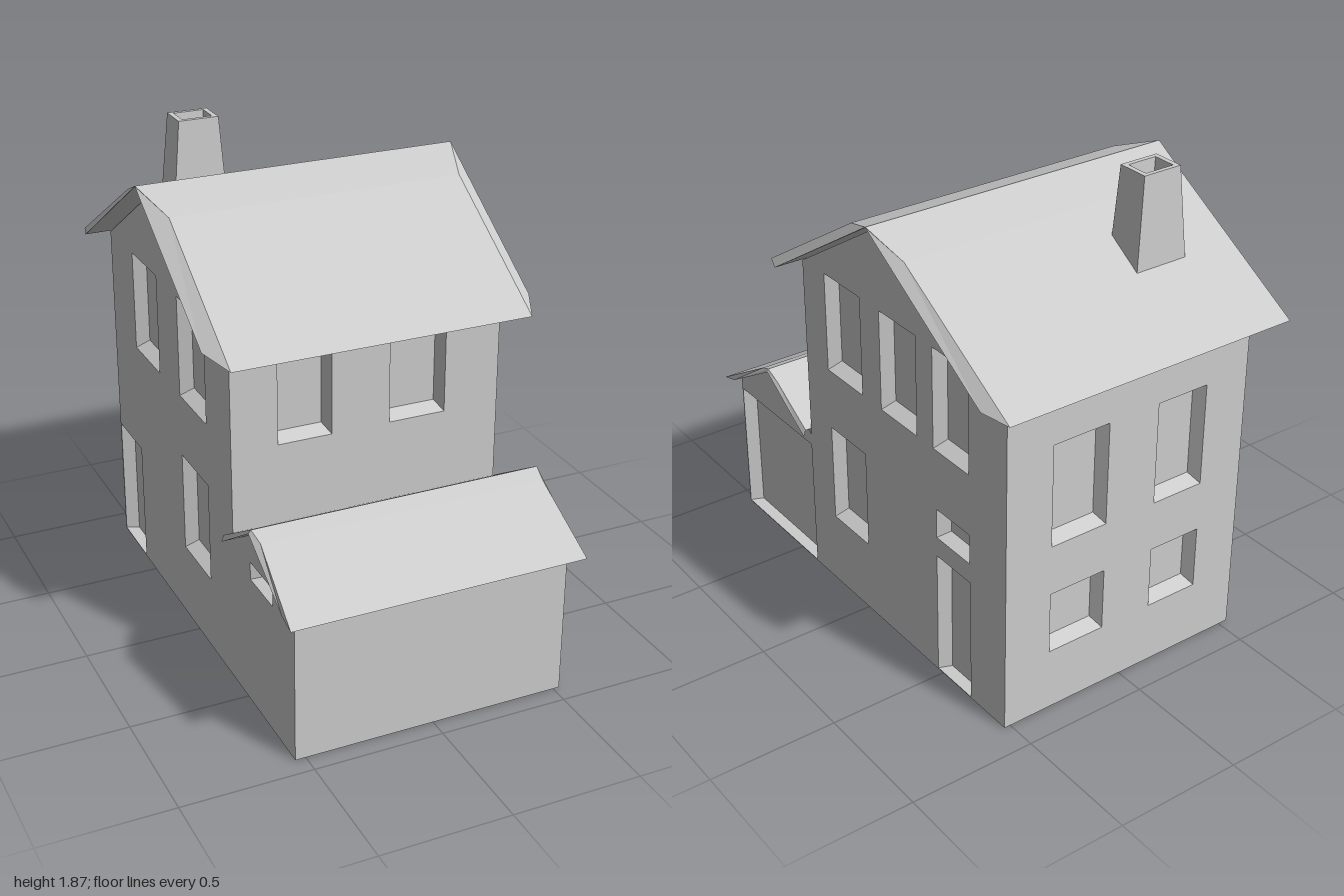
import * as THREE from 'three';

const material = new THREE.MeshStandardMaterial({ color: 0xcccccc, flatShading: true });

// Mesh from four-cornered faces, corners counter-clockwise from outside
function quadMesh(name, quads) {
  const geometry = new THREE.BufferGeometry();
  const pos = quads.flatMap(([a, b, c, d]) => [a, b, c, a, c, d]).flat();
  geometry.setAttribute('position', new THREE.Float32BufferAttribute(pos, 3));
  geometry.computeVertexNormals();
  const mesh = new THREE.Mesh(geometry, material);
  mesh.name = name;
  return mesh;
}

// Join successive four-cornered rings and close the last one
function loft(name, rings) {
  const quads = [rings[rings.length - 1]];
  for (let i = 0; i + 1 < rings.length; i++) {
    for (let k = 0; k < 4; k++) {
      const n = (k + 1) % 4;
      quads.push([rings[i][k], rings[i][n], rings[i + 1][n], rings[i + 1][k]]);
    }
  }
  return quadMesh(name, quads);
}

// Wall in its own plane; openings are [name, u0, u1, y0, y1], each with a splayed recess
function wall(name, outline, openings, turn, x, z) {
  const group = new THREE.Group();
  group.name = name;
  const shape = new THREE.Shape(outline.map(p => new THREE.Vector2(...p)));
  const rect = (u0, u1, y0, y1, d) => [[u0, y0, d], [u1, y0, d], [u1, y1, d], [u0, y1, d]];
  for (const [label, a, b, y0, y1] of openings) {
    const u0 = Math.min(a, b), u1 = Math.max(a, b);
    const outer = rect(u0, u1, y0, y1, 0);
    shape.holes.push(new THREE.Path(outer.map(p => new THREE.Vector2(p[0], p[1]))));
    const inset = Math.min(0.03, (y1 - y0) * 0.15);
    const sill = y0 < 0.01 ? 0 : inset;
    group.add(loft(label, [outer, rect(u0 + 0.02, u1 - 0.02, y0 + sill, y1 - inset, -0.05)]));
  }
  const face = new THREE.Mesh(new THREE.ShapeGeometry(shape), material);
  face.name = name + 'Face';
  group.add(face);
  group.rotation.y = turn;
  group.position.set(x, 0, z);
  return group;
}

// Roof shell from matching upper and lower rows [z, y, xLeftmost, xRightmost], back to front
function roof(name, top, under) {
  const lo = r => [r[2], r[1], r[0]];
  const hi = r => [r[3], r[1], r[0]];
  const quads = [];
  for (let i = 0; i + 1 < top.length; i++) {
    const [t, T, b, B] = [top[i], top[i + 1], under[i], under[i + 1]];
    quads.push([lo(t), lo(T), hi(T), hi(t)]);
    quads.push([hi(b), hi(B), lo(B), lo(b)]);
    quads.push([hi(t), hi(T), hi(B), hi(b)]);
    quads.push([lo(b), lo(B), lo(T), lo(t)]);
  }
  return quadMesh(name, quads);
}

export function createModel() {
  const model = new THREE.Group();
  model.name = 'house';
  const X0 = -0.54, X1 = 0.525, back = -0.88, front = 0.38, garageFront = 0.925;
  const flip = list => list.map(([u, y]) => [-u, y]).reverse();

  // House walls: gables on the sides, plain walls front and back
  const gable = [[back, 0], [front, 0], [front, 1.35], [-0.245, 1.745], [back, 1.35]];
  model.add(wall('rightGableWall', flip(gable), [
    ['upperWindow', -0.23, 0.005, 0.955, 1.355],
    ['upperWindow', 0.13, 0.355, 0.955, 1.355],
    ['upperWindow', 0.455, 0.665, 0.955, 1.355],
    ['lowerWindow', -0.225, 0.01, 0.3, 0.705],
    ['smallWindow', 0.47, 0.67, 0.59, 0.71],
    ['door', 0.47, 0.675, 0.004, 0.51],
  ], Math.PI / 2, X1, 0));
  model.add(wall('leftGableWall', gable, [
    ['upperWindow', -0.62, -0.35, 0.95, 1.35],
    ['upperWindow', -0.13, 0.14, 0.95, 1.35],
    ['lowerWindow', -0.13, 0.14, 0.3, 0.7],
    ['door', -0.872, -0.62, 0.004, 0.5],
  ], -Math.PI / 2, X0, 0));
  const plain = h => [[X0, 0], [X1, 0], [X1, h], [X0, h]];
  model.add(wall('frontWall', plain(1.35), [
    ['upperWindow', -0.36, -0.15, 0.94, 1.34],
    ['upperWindow', 0.08, 0.305, 0.94, 1.34],
  ], 0, 0, front));
  const backWindows = [];
  for (const [a, b] of [[-0.33, -0.09], [0.13, 0.35]]) {
    backWindows.push(['upperWindow', a, b, 0.7, 1.11], ['lowerWindow', a, b, 0.25, 0.5]);
  }
  model.add(wall('backWall', flip(plain(1.35)), backWindows, Math.PI, 0, back));

  // Garage walls
  const garageGable = [[front, 0], [garageFront, 0], [garageFront, 0.6], [0.645, 0.765], [front, 0.6]];
  model.add(wall('garageDoorWall', flip(garageGable),
    [['garageDoor', -0.921, -0.384, 0.004, 0.55]], Math.PI / 2, X1, 0));
  model.add(wall('garageLeftWall', garageGable,
    [['gableWindow', 0.54, 0.74, 0.52, 0.59]], -Math.PI / 2, X0, 0));
  model.add(wall('garageFrontWall', plain(0.6), [], 0, 0, garageFront));

  // Underside
  model.add(quadMesh('base', [
    [[X0, 0, back], [X1, 0, back], [X1, 0, garageFront], [X0, 0, garageFront]],
  ]));

  // Main roof with bevelled gable edges
  model.add(roof('mainRoof', [
    [-1, 1.335, -0.61, 0.605], [-0.42, 1.68, -0.61, 0.605], [-0.245, 1.75, -0.64, 0.64],
    [-0.06, 1.68, -0.58, 0.58], [0.515, 1.32, -0.585, 0.58],
  ], [
    [-1, 1.335, -0.61, 0.605], [-0.89, 1.35, -0.64, 0.64], [-0.245, 1.748, -0.64, 0.64],
    [0.385, 1.35, -0.64, 0.64], [0.515, 1.32, -0.585, 0.58],
  ]));

  // Garage roof
  model.add(roof('garageRoof', [
    [0.38, 0.625, -0.575, 0.55], [0.58, 0.745, -0.575, 0.55], [0.64, 0.78, -0.575, 0.555],
    [0.7, 0.755, -0.565, 0.545], [1, 0.58, -0.585, 0.56],
  ], [
    [0.38, 0.6, -0.585, 0.56], [0.4, 0.612, -0.585, 0.56], [0.64, 0.767, -0.585, 0.56],
    [0.925, 0.6, -0.585, 0.56], [1, 0.58, -0.585, 0.56],
  ]));

  // Tapered hollow chimney
  const ring = (x0, x1, z0, z1, y) => [[x0, y, z1], [x1, y, z1], [x1, y, z0], [x0, y, z0]];
  model.add(loft('chimney', [
    ring(-0.395, -0.165, -0.69, -0.535, 1.45),
    ring(-0.355, -0.195, -0.675, -0.55, 1.87),
    ring(-0.335, -0.215, -0.658, -0.568, 1.87),
    ring(-0.325, -0.225, -0.65, -0.575, 1.77),
  ]));
  return model;
}
